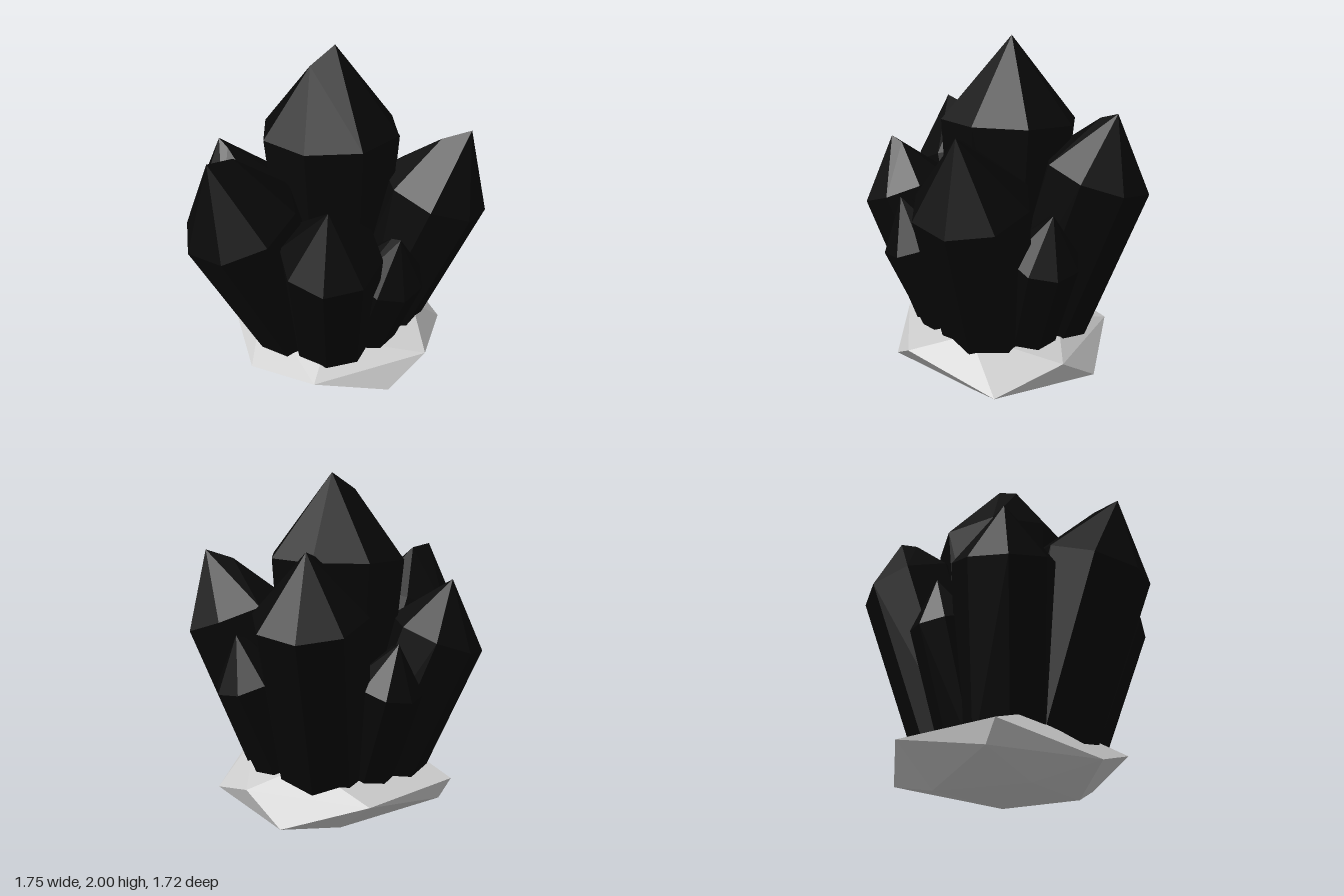
import * as THREE from 'three';
import { ConvexGeometry } from 'three/addons/geometries/ConvexGeometry.js';

const V = (x, y, z) => new THREE.Vector3(x, y, z);
const UP = V(0, 1, 0);

// Eight-sided ring of points around a centre, square to an axis
function ring(center, axis, radius, turn, sides = 8) {
  const q = new THREE.Quaternion().setFromUnitVectors(UP, axis);
  return Array.from({ length: sides }, (_, i) => {
    const a = turn + (i / sides) * Math.PI * 2;
    return V(Math.cos(a) * radius, 0, Math.sin(a) * radius).applyQuaternion(q).add(center);
  });
}

// Tapered prism with a pointed cap whose tip runs into a short ridge
function crystal({ foot, shoulder, tip, r0, r1, ridge, turn }) {
  const a = V(...foot), b = V(...shoulder), t = V(...tip);
  const axis = b.clone().sub(a).normalize();
  const knee = t.clone().add(V(...ridge));
  return new ConvexGeometry([...ring(a, axis, r0, turn), ...ring(b, axis, r1, turn), t, knee]);
}

export function createModel() {
  const model = new THREE.Group();
  const stone = new THREE.MeshStandardMaterial({ color: 0xcccccc, flatShading: true });
  const dark = new THREE.MeshStandardMaterial({ color: 0x080808, flatShading: true });

  // Faceted rock underneath
  const rockPoints = [
    // underside
    [0, 0, 0.39], [-0.33, 0.02, 0.1], [0.5, 0.04, 0], [-0.1, 0.02, -0.4],
    // rim
    [-0.02, 0.24, 0.67], [0.4, 0.13, 0.54], [0.6, 0.28, 0.36], [0.68, 0.13, -0.19],
    [0.42, 0.26, -0.5], [0.2, 0.1, -0.63], [-0.28, 0.24, -0.59], [-0.65, 0.12, -0.14],
    [-0.72, 0.23, -0.1], [-0.45, 0.11, 0.44],
    // top
    [0.5, 0.39, 0.02], [0.02, 0.36, 0.4], [-0.45, 0.34, 0.1], [0.1, 0.38, -0.38],
  ];
  const rock = new THREE.Mesh(new ConvexGeometry(rockPoints.map((p) => V(...p))), stone);
  rock.name = 'rockBase';
  model.add(rock);

  // Crystals: one upright in the middle, five large and three small leaning outwards
  const crystals = {
    centreCrystal: { foot: [0, 0.2, 0], shoulder: [-0.025, 1.53, -0.03], tip: [0, 2, -0.05], r0: 0.3, r1: 0.4, ridge: [-0.12, -0.09, 0.1], turn: 0.2 },
    backCrystal: { foot: [0.02, 0.2, -0.22], shoulder: [0.04, 1.27, -0.57], tip: [0.04, 1.6, -0.67], r0: 0.27, r1: 0.31, ridge: [-0.03, -0.03, 0.1], turn: 0.07 },
    leftCrystal: { foot: [0.22, 0.2, -0.01], shoulder: [0.58, 1.19, -0.03], tip: [0.76, 1.56, -0.03], r0: 0.28, r1: 0.32, ridge: [-0.16, -0.05, 0.02], turn: 0.05 },
    frontCrystal: { foot: [0.03, 0.2, 0.28], shoulder: [0.07, 1.1, 0.6], tip: [0.07, 1.4, 0.69], r0: 0.24, r1: 0.27, ridge: [0.03, -0.03, -0.08], turn: 0 },
    frontRightCrystal: { foot: [-0.16, 0.2, 0.16], shoulder: [-0.45, 1.18, 0.44], tip: [-0.55, 1.57, 0.59], r0: 0.28, r1: 0.33, ridge: [0.1, -0.02, -0.12], turn: 0.1 },
    rightCrystal: { foot: [-0.27, 0.2, -0.02], shoulder: [-0.61, 1.1, -0.05], tip: [-0.69, 1.41, -0.06], r0: 0.25, r1: 0.28, ridge: [0.06, -0.04, 0.04], turn: 0 },
    smallFrontLeftCrystal: { foot: [0.2, 0.2, 0.2], shoulder: [0.36, 0.87, 0.4], tip: [0.42, 1.13, 0.46], r0: 0.17, r1: 0.2, ridge: [-0.05, -0.02, -0.04], turn: 0.2 },
    smallBackLeftCrystal: { foot: [0.22, 0.2, -0.2], shoulder: [0.42, 0.88, -0.38], tip: [0.47, 1.13, -0.44], r0: 0.17, r1: 0.2, ridge: [-0.05, -0.02, 0.04], turn: 0.1 },
    smallBackRightCrystal: { foot: [-0.2, 0.2, -0.2], shoulder: [-0.36, 0.86, -0.36], tip: [-0.41, 1.1, -0.41], r0: 0.16, r1: 0.19, ridge: [0.04, -0.02, 0.04], turn: 0 },
  };
  for (const [name, spec] of Object.entries(crystals)) {
    const mesh = new THREE.Mesh(crystal(spec), dark);
    mesh.name = name;
    model.add(mesh);
  }
  return model;
}
